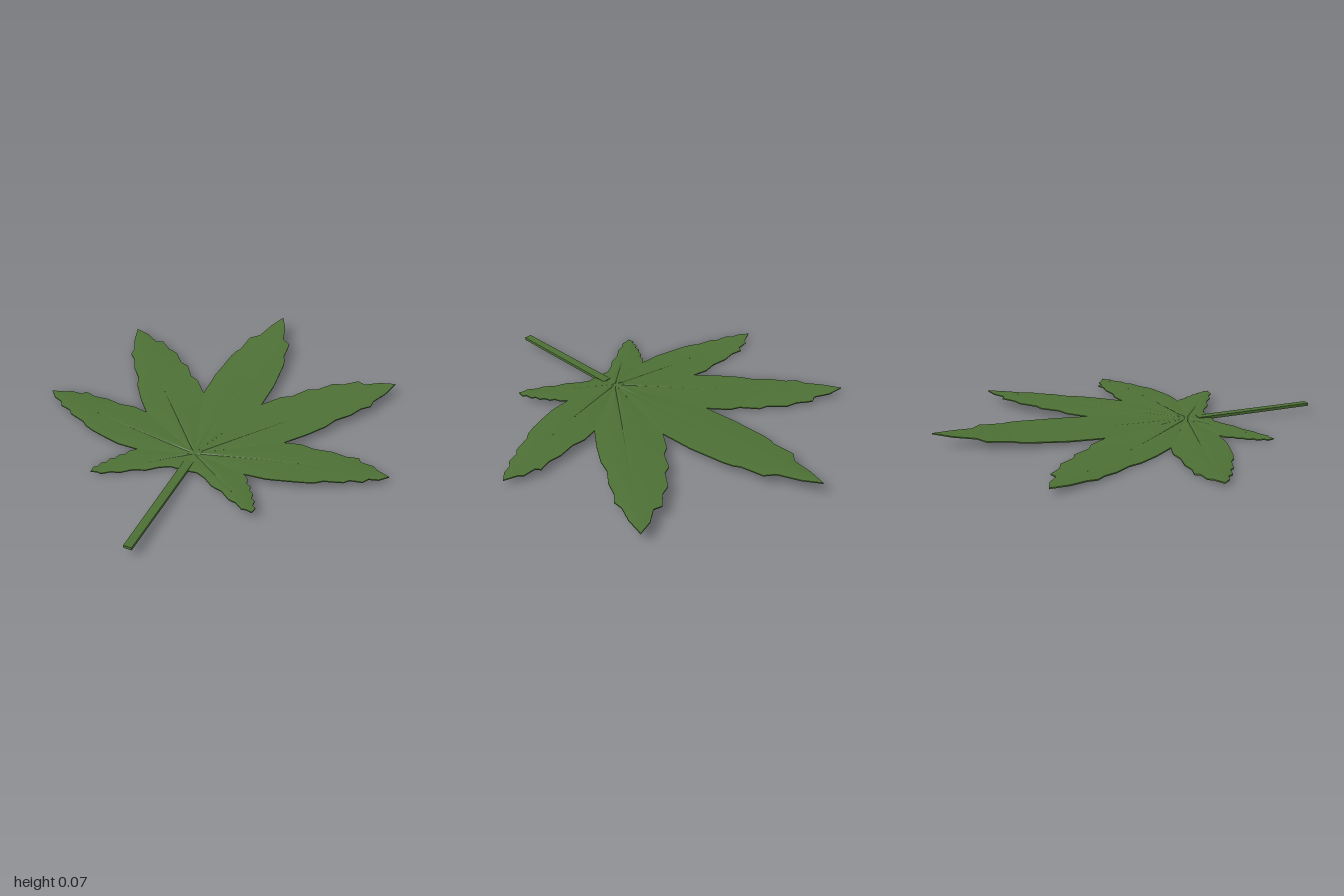
import * as THREE from 'three';
import { mergeVertices, mergeGeometries } from 'three/addons/utils/BufferGeometryUtils.js';

const HUB = [0, 0.3];
const THICK = 0.006;

// Serrated outlines in (x, z), running from the valley beside a lobe to its tip
const V1 = [0.165, -0.19], V2 = [0.376, 0.07], V3 = [0.28, 0.36], V4 = [0, 0.43];
const centreEdge = [V1, [0.17, -0.37], [0.165, -0.43], [0.156, -0.56], [0.146, -0.61], [0.13, -0.64],
  [0.12, -0.76], [0.107, -0.77], [0.072, -0.8], [0.042, -0.91], [0, -1]];
const upperInner = [V1, [0.24, -0.285], [0.29, -0.31], [0.35, -0.395], [0.395, -0.41], [0.46, -0.487],
  [0.515, -0.505], [0.58, -0.56], [0.62, -0.545], [0.69, -0.59], [0.77, -0.61]];
const upperOuter = [V2, [0.46, -0.03], [0.53, -0.13], [0.56, -0.2], [0.62, -0.27], [0.655, -0.34],
  [0.695, -0.38], [0.7, -0.43], [0.74, -0.51], [0.77, -0.61]];
const sideInner = [V2, [0.46, 0.05], [0.53, 0.06], [0.62, 0.045], [0.69, 0.053], [0.75, 0.037],
  [0.765, 0.062], [0.83, 0.065], [0.85, 0.085], [0.915, 0.11]];
const sideOuter = [V3, [0.39, 0.355], [0.47, 0.335], [0.56, 0.31], [0.61, 0.29], [0.64, 0.265],
  [0.73, 0.235], [0.75, 0.21], [0.81, 0.195], [0.83, 0.165], [0.875, 0.15], [0.915, 0.11]];
const lowerInner = [V3, [0.31, 0.385], [0.32, 0.42], [0.342, 0.43], [0.35, 0.46], [0.372, 0.475],
  [0.375, 0.505], [0.395, 0.515], [0.398, 0.55], [0.415, 0.56], [0.41, 0.595]];
const lowerOuter = [V4, [0.07, 0.425], [0.12, 0.45], [0.17, 0.49], [0.23, 0.51], [0.28, 0.55],
  [0.32, 0.56], [0.36, 0.59], [0.38, 0.585], [0.41, 0.595]];

const mirror = (edge) => edge.map(([x, z]) => [-x, z]);
const lerp = (a, b, t) => [a[0] + (b[0] - a[0]) * t, a[1] + (b[1] - a[1]) * t];

// Gentle twist of the whole leaf
const leafHeight = (x, z) => 0.027 + 0.045 * Math.min(z, 0) ** 2 + 0.017 * Math.sin(Math.PI * x);

// Triangles from a grid of points
function skin(rows, flip) {
  const out = [];
  for (let i = 0; i < rows.length - 1; i++) {
    for (let j = 0; j < rows[i].length - 1; j++) {
      const a = rows[i][j], b = rows[i + 1][j], c = rows[i][j + 1], d = rows[i + 1][j + 1];
      for (const t of [[a, b, c], [b, d, c]]) {
        if (flip) t.reverse();
        t.forEach((p) => out.push(...p));
      }
    }
  }
  return out;
}

function smooth(positions) {
  const g = new THREE.BufferGeometry();
  g.setAttribute('position', new THREE.Float32BufferAttribute(positions, 3));
  const merged = mergeVertices(g, 1e-5);
  merged.computeVertexNormals();
  return merged;
}

// Half a lobe: rows run from the grooved midrib out to the serrated edge
function halfLobe(edge) {
  const tip = edge[edge.length - 1];
  const dx = tip[0] - HUB[0], dz = tip[1] - HUB[1], len2 = dx * dx + dz * dz;
  const outline = [0, 0.1, 0.3, 0.5, 0.75].map((t) => lerp(HUB, edge[0], t)).concat(edge);
  const rows = outline.map((e) => {
    const t = Math.min(1, Math.max(0, ((e[0] - HUB[0]) * dx + (e[1] - HUB[1]) * dz) / len2));
    const rib = lerp(HUB, tip, t);
    const width = Math.hypot(e[0] - rib[0], e[1] - rib[1]);
    const groove = Math.min(0.3, 0.007 / Math.max(width, 1e-4));
    return [0, groove, 0.4, 0.75, 1].map((u, j) => {
      const [x, z] = lerp(rib, e, u);
      const dip = j === 0 ? 0.004 * (1 - t) : 0;
      const droop = 0.004 * u * u * Math.min(1, width / 0.06);
      return [x, leafHeight(x, z) - dip - droop, z];
    });
  });
  const under = rows.map((r) => r.map(([x, y, z]) => [x, y - THICK, z]));
  const rim = rows.slice(5).map((r, i) => [r[4], under[i + 5][4]]);
  const flip = dz * (edge[1][0] - HUB[0]) - dx * (edge[1][1] - HUB[1]) < 0;
  return { top: skin(rows, flip), bottom: skin(under, !flip), rim: skin(rim, flip) };
}

function lobe(name, material, edgeA, edgeB) {
  const a = halfLobe(edgeA), b = halfLobe(edgeB);
  const parts = ['top', 'bottom', 'rim'].map((k) => smooth(a[k].concat(b[k])));
  const mesh = new THREE.Mesh(mergeGeometries(parts), material);
  mesh.name = name;
  return mesh;
}

export function createModel() {
  const green = new THREE.MeshStandardMaterial({ color: 0x4d7035 });
  green.name = 'leafGreen';
  const group = new THREE.Group();
  group.name = 'leaf';

  // Seven lobes: one in the centre and three mirrored pairs
  group.add(lobe('centreLobe', green, centreEdge, mirror(centreEdge)));
  const pairs = { UpperLobe: [upperInner, upperOuter], SideLobe: [sideInner, sideOuter], LowerLobe: [lowerInner, lowerOuter] };
  for (const [name, [inner, outer]] of Object.entries(pairs)) {
    group.add(lobe('left' + name, green, inner, outer));
    group.add(lobe('right' + name, green, mirror(inner), mirror(outer)));
  }

  // Stem, rising slightly to its cut end
  const stemGeometry = new THREE.BoxGeometry(0.042, 0.015, 0.64);
  const p = stemGeometry.attributes.position;
  for (let i = 0; i < p.count; i++) {
    const z = p.getZ(i) + 0.68;
    p.setXYZ(i, p.getX(i) * (z < 0.5 ? 1.1 : 0.95), p.getY(i) + (z < 0.5 ? 0.021 : 0.042), z);
  }
  stemGeometry.computeVertexNormals();
  const stem = new THREE.Mesh(stemGeometry, green);
  stem.name = 'stem';
  group.add(stem);
  return group;
}
